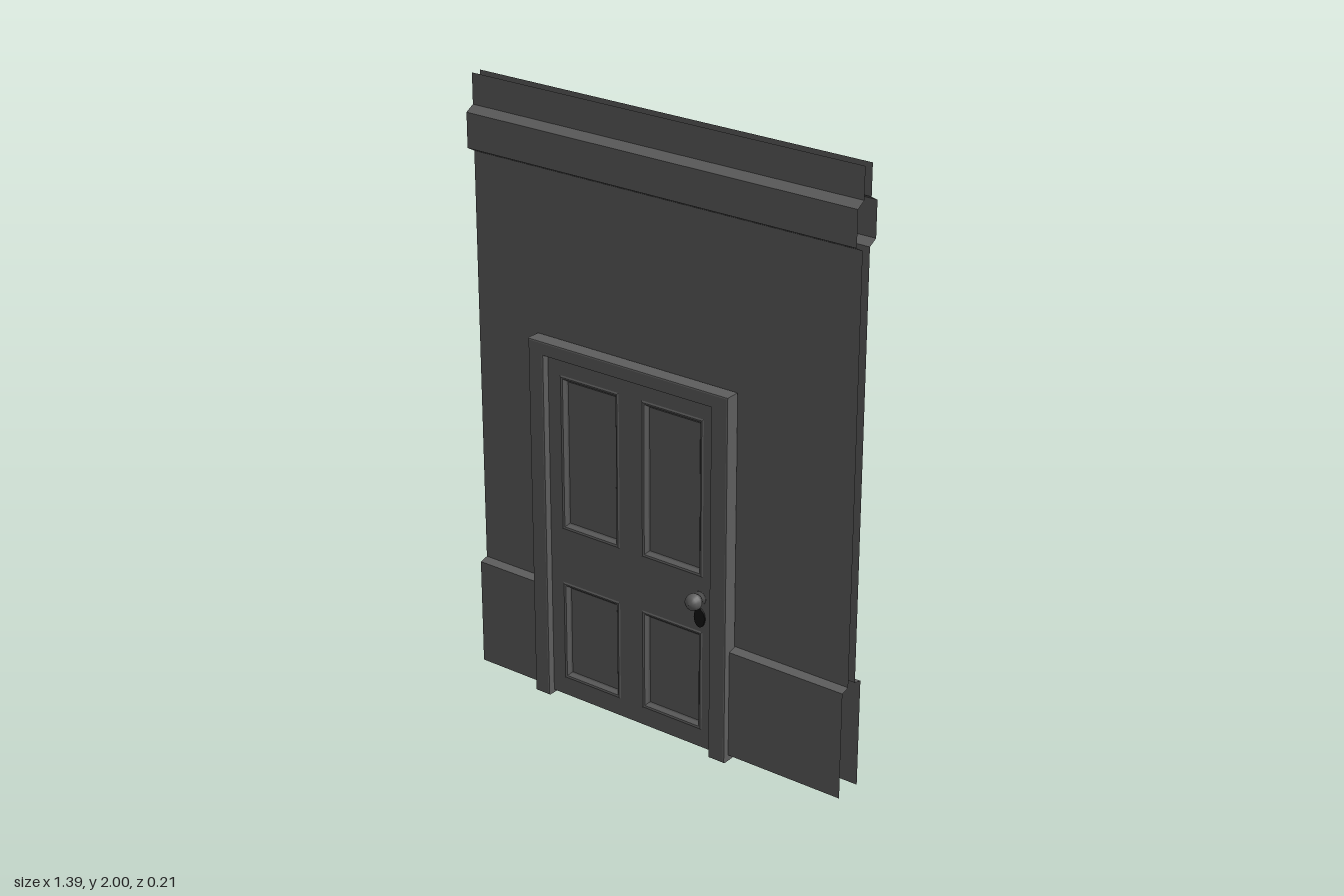
import * as THREE from 'three';

const paint = new THREE.MeshStandardMaterial({ color: 0x5e5e5e });
const thin = new THREE.MeshStandardMaterial({ color: 0x5e5e5e, side: THREE.DoubleSide });
const dark = new THREE.MeshStandardMaterial({ color: 0x141414 });

const DOOR = { x0: -0.4, x1: 0.225, y0: 0.01, y1: 1.18 };
const FACE = 0.046; // z of the door face
const PANEL = 0.033; // z of the sunken panels

function add(parent, name, geometry, material = paint) {
  const mesh = new THREE.Mesh(geometry, material);
  mesh.name = name;
  parent.add(mesh);
  return mesh;
}

// Flat-shaded quads joining successive cross-sections
function loft(rows, closed) {
  const pos = [];
  for (let i = 0; i < rows.length - 1; i++) {
    const n = rows[i].length;
    for (let j = 0; j < (closed ? n : n - 1); j++) {
      const k = (j + 1) % n;
      const a = rows[i][j], b = rows[i][k], c = rows[i + 1][k], d = rows[i + 1][j];
      pos.push(...a, ...b, ...c, ...a, ...c, ...d);
    }
  }
  const g = new THREE.BufferGeometry();
  g.setAttribute('position', new THREE.Float32BufferAttribute(pos, 3));
  g.computeVertexNormals();
  return g;
}

// Sheet following a [y, z] profile between two x positions
const sheet = (profile, x0, x1) =>
  loft(profile.map(([y, z]) => [[x0, y, z], [x1, y, z]]), false);

// Rectangular moulding: profile of [inset, z]
const moulding = ({ x0, x1, y0, y1 }, profile) =>
  loft(profile.map(([i, z]) => [
    [x0 + i, y0 + i, z], [x1 - i, y0 + i, z], [x1 - i, y1 - i, z], [x0 + i, y1 - i, z],
  ]), true);

function polygon(points, Type = THREE.Shape) {
  return new Type(points.map(([x, y]) => new THREE.Vector2(x, y)));
}
const rect = ({ x0, x1, y0, y1 }) => [[x0, y0], [x1, y0], [x1, y1], [x0, y1]];

// One face of the wall: dado, plain wall and cornice
function wall() {
  const g = new THREE.Group();
  g.name = 'wall';
  const upper = [
    [1.757, 0.018], [1.773, 0.048], [1.885, 0.048], [1.902, 0.018], [2, 0.018],
  ];
  const full = [[0.02, 0.048], [0.38, 0.048], [0.387, 0.018], ...upper];
  add(g, 'wallRight', sheet(full, -0.693, -0.42), thin);
  add(g, 'wallLeft', sheet(full, 0.25, 0.693), thin);
  add(g, 'wallAboveDoor', sheet([[1.2, 0.018], ...upper], -0.42, 0.25), thin);
  return g;
}

// Architrave around the opening, with a bevelled face
function doorFrame() {
  const b = 0.005;
  const shape = polygon([
    [-0.457 + b, b], [DOOR.x0 - b, b], [DOOR.x0 - b, DOOR.y1 + b], [DOOR.x1 + b, DOOR.y1 + b],
    [DOOR.x1 + b, b], [0.286 - b, b], [0.286 - b, 1.226 - b], [-0.457 + b, 1.226 - b],
  ]);
  const geometry = new THREE.ExtrudeGeometry(shape, {
    depth: 0.052 - 2 * b, bevelEnabled: true, bevelSize: b, bevelThickness: b, bevelSegments: 2,
  });
  geometry.translate(0, 0, 0.018 + b);
  return geometry;
}

// One door face: stiles and rails, four sunken panels, knob and keyhole
function doorFace(knobX) {
  const g = new THREE.Group();
  g.name = 'doorFace';
  const panels = [];
  for (const [x0, x1] of [[-0.355, -0.13], [-0.046, 0.184]])
    for (const [y0, y1] of [[0.07, 0.415], [0.6, 1.122]]) panels.push({ x0, x1, y0, y1 });

  const shape = polygon(rect(DOOR));
  shape.holes = panels.map((p) => polygon(rect(p), THREE.Path));
  add(g, 'stilesAndRails', new THREE.ShapeGeometry(shape).translate(0, 0, FACE));
  for (const p of panels)
    add(g, 'panelMoulding', moulding(p, [
      [0, FACE], [0.005, FACE + 0.003], [0.011, FACE + 0.001], [0.018, PANEL + 0.003], [0.022, PANEL],
    ]));
  // Edges of the door leaf, from the core out to the face
  add(g, 'doorEdge', moulding(DOOR, [[0, PANEL], [0, FACE]]), thin);

  // Knob turned about z
  const profile = [
    [0, 0], [0.022, 0], [0.022, 0.003], [0.011, 0.006], [0.01, 0.011], [0.019, 0.015], [0.026, 0.026],
    [0.027, 0.035], [0.023, 0.048], [0.013, 0.057], [0, 0.06],
  ].map(([r, h]) => new THREE.Vector2(r, h));
  const knob = add(g, 'knob', new THREE.LatheGeometry(profile, 20));
  knob.rotation.x = Math.PI / 2;
  knob.position.set(knobX, 0.53, FACE);

  const keyhole = add(g, 'keyholeCover', new THREE.CylinderGeometry(0.02, 0.02, 0.006, 20), dark);
  keyhole.rotation.x = Math.PI / 2;
  keyhole.scale.z = 1.6;
  keyhole.position.set(knobX, 0.463, FACE + 0.002);
  return g;
}

export function createModel() {
  const model = new THREE.Group();
  model.name = 'doorInWall';

  const core = add(model, 'doorCore', new THREE.BoxGeometry(
    DOOR.x1 - DOOR.x0, DOOR.y1 - DOOR.y0, PANEL * 2));
  core.position.set((DOOR.x0 + DOOR.x1) / 2, (DOOR.y0 + DOOR.y1) / 2, 0.002);

  // Front side and its mirror image at the back
  for (const side of [1, -1]) {
    const half = new THREE.Group();
    half.name = side > 0 ? 'frontSide' : 'backSide';
    half.add(wall(), doorFace(0.173 + 0.002 * side));
    add(half, 'doorFrame', doorFrame());
    half.scale.z = side;
    half.position.z = 0.002;
    model.add(half);
  }
  return model;
}
